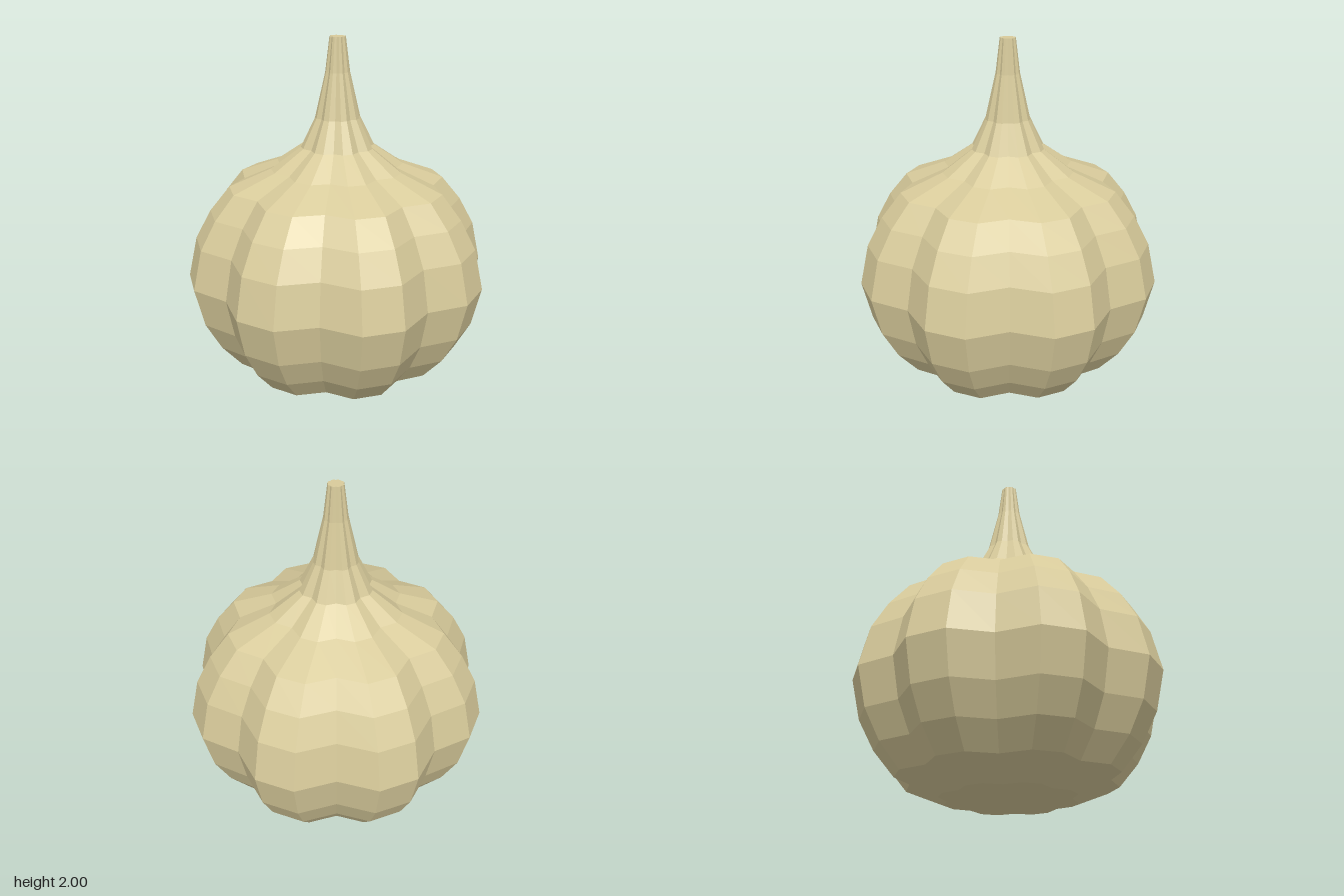
import * as THREE from 'three';

const LOBES = 8;
const SIDES = LOBES * 3; // each lobe: one valley edge and two ridge edges
const VALLEY = 0.884; // valley radius relative to ridge radius
const RIDGE = 1 / Math.cos(Math.PI / 12); // silhouette half-width to ridge radius

// Revolve [halfWidth, height] pairs, then pinch every third edge into a valley
function lobedLathe(profile, name, material) {
  const points = profile.map(([r, y]) => new THREE.Vector2(r * RIDGE, y));
  const geometry = new THREE.LatheGeometry(points, SIDES);
  const pos = geometry.attributes.position;
  for (let i = 0; i < pos.count; i++) {
    const column = Math.floor(i / points.length);
    if (column % 3 === 0) {
      pos.setX(i, pos.getX(i) * VALLEY);
      pos.setZ(i, pos.getZ(i) * VALLEY);
    }
  }
  geometry.computeVertexNormals();
  const mesh = new THREE.Mesh(geometry, material);
  mesh.name = name;
  return mesh;
}

export function createModel() {
  const group = new THREE.Group();
  group.name = 'garlicBulb';
  const skin = new THREE.MeshStandardMaterial({ color: 0xd8cb9b, flatShading: true });

  // Round lobed bulb, from the base point up to the shoulder
  group.add(lobedLathe([
    [0, 0], [0.365, 0.035], [0.59, 0.13], [0.7, 0.265], [0.785, 0.43],
    [0.835, 0.655], [0.785, 0.885], [0.7, 1.045], [0.593, 1.18],
    [0.365, 1.275], [0.2, 1.395],
  ], 'bulb', skin));

  // Tapering neck with a flat cut top
  group.add(lobedLathe([
    [0.2, 1.395], [0.122, 1.56], [0.066, 1.81], [0.043, 2], [0, 2],
  ], 'stem', skin));

  return group;
}
